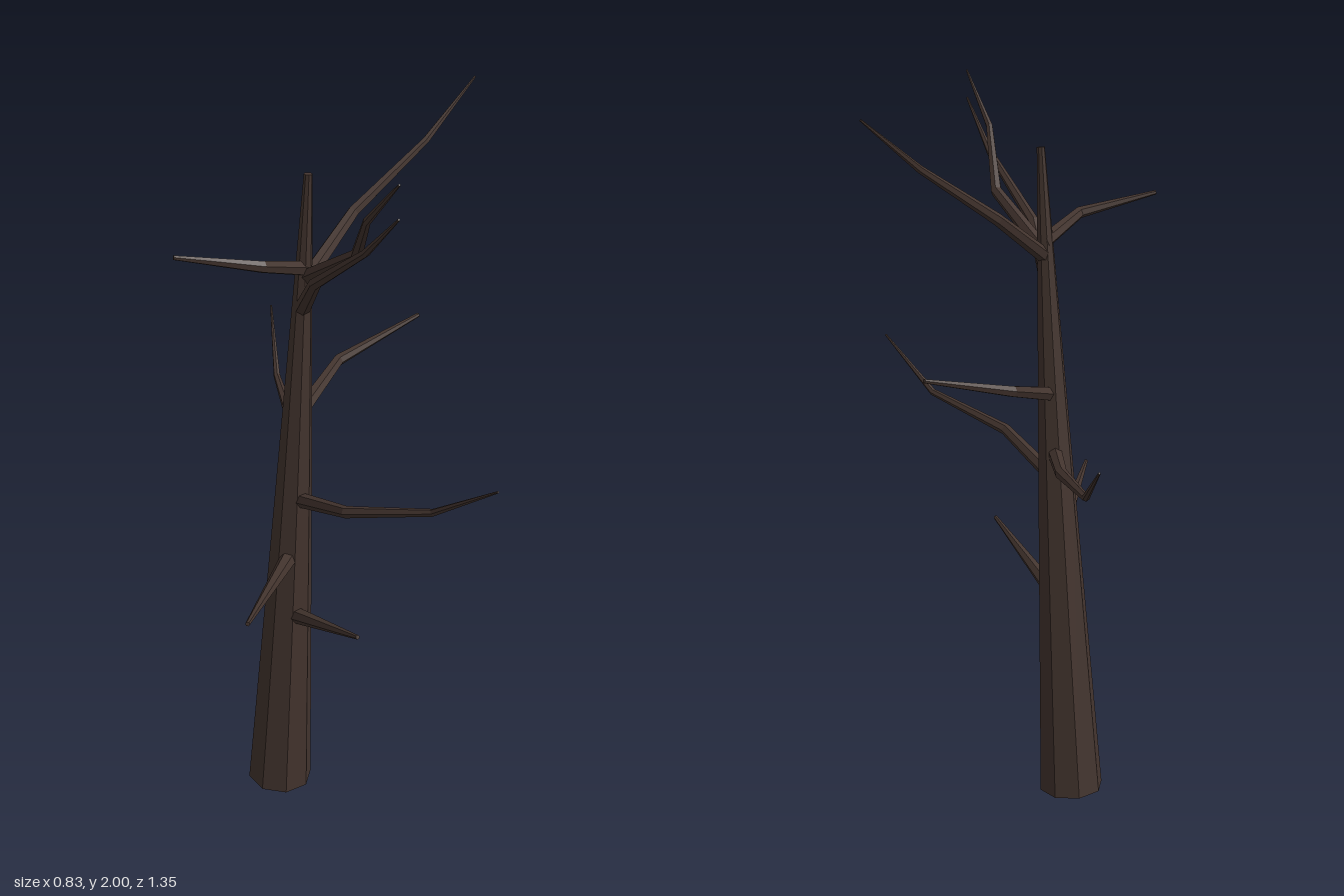
import * as THREE from 'three';

const bark = new THREE.MeshStandardMaterial({ color: 0x43342e, flatShading: true });
bark.name = 'dark bark';

// Tapered faceted limb through [x, y, z, radius] points, mitred at each elbow
function limb(name, points, sides, turn = 0) {
  const centres = points.map(([x, y, z]) => new THREE.Vector3(x, y, z));
  const up = new THREE.Vector3(0, 1, 0);
  const pos = [];
  const index = [];
  const last = points.length - 1;
  const frame = new THREE.Quaternion();
  const heading = up.clone();

  centres.forEach((c, i) => {
    const dir = new THREE.Vector3();
    if (i > 0) dir.add(c.clone().sub(centres[i - 1]).normalize());
    if (i < last) dir.add(centres[i + 1].clone().sub(c).normalize());
    dir.normalize();
    // carry the frame along so the sides do not twist
    frame.premultiply(new THREE.Quaternion().setFromUnitVectors(heading, dir));
    heading.copy(dir);
    for (let s = 0; s < sides; s++) {
      const a = turn + (s / sides) * Math.PI * 2;
      const p = new THREE.Vector3(Math.sin(a), 0, Math.cos(a));
      p.multiplyScalar(points[i][3]).applyQuaternion(frame).add(c);
      pos.push(p.x, p.y, p.z);
    }
  });

  for (let i = 0; i < last; i++) {
    for (let s = 0; s < sides; s++) {
      const a = i * sides + s;
      const b = i * sides + (s + 1) % sides;
      index.push(a, b, b + sides, a, b + sides, a + sides);
    }
  }
  // end caps
  for (let s = 1; s < sides - 1; s++) {
    index.push(0, s + 1, s);
    index.push(last * sides, last * sides + s, last * sides + s + 1);
  }

  const geo = new THREE.BufferGeometry();
  geo.setAttribute('position', new THREE.Float32BufferAttribute(pos, 3));
  geo.setIndex(index);
  const flat = geo.toNonIndexed();
  flat.computeVertexNormals();
  const mesh = new THREE.Mesh(flat, bark);
  mesh.name = name;
  return mesh;
}

export function createModel() {
  const tree = new THREE.Group();
  tree.name = 'bareTree';

  // Leaning trunk
  tree.add(limb('trunk', [
    [-0.161, 0.009, 0.023, 0.092],
    [-0.118, 0.93, 0.067, 0.052],
    [-0.076, 1.857, 0.11, 0.011],
  ], 8, 0.1));

  // Bare branches, from the lowest to the highest
  const branches = {
    lowFrontStub: [[-0.122, 0.585, 0.08, 0.024], [0.012, 0.708, 0.42, 0.006]],
    lowRightStub: [[-0.13, 0.77, 0.08, 0.024], [-0.28, 0.836, 0.53, 0.006]],
    frontLeftBranch: [[-0.11, 0.945, 0.08, 0.021], [-0.005, 1.018, 0.31, 0.016],
      [0.19, 1.09, 0.475, 0.01], [0.315, 1.225, 0.643, 0.003]],
    backBranch: [[-0.11, 1.025, 0.04, 0.021], [-0.092, 1.045, -0.18, 0.017],
      [-0.11, 1.075, -0.46, 0.01], [-0.105, 1.212, -0.675, 0.003]],
    middleLeftBranch: [[-0.1, 1.19, 0.07, 0.021], [0.03, 1.258, -0.125, 0.016],
      [0.27, 1.33, -0.25, 0.006]],
    lowerFrontBranch: [[-0.092, 1.5, 0.1, 0.021], [-0.078, 1.63, 0.27, 0.016],
      [0.013, 1.785, 0.5, 0.01], [0.06, 1.92, 0.675, 0.003]],
    topLeftBranch: [[-0.09, 1.565, 0.1, 0.021], [0.06, 1.7, -0.06, 0.016],
      [0.265, 1.85, -0.17, 0.01], [0.413, 1.987, -0.28, 0.003]],
    upperFrontBranch: [[-0.085, 1.58, 0.09, 0.021], [0.02, 1.71, 0.3, 0.016],
      [0.015, 1.86, 0.5, 0.01], [0.06, 1.998, 0.675, 0.003]],
    topRightBranch: [[-0.08, 1.605, 0.09, 0.021], [-0.2, 1.66, 0.22, 0.016],
      [-0.418, 1.705, 0.253, 0.006]],
  };
  for (const [name, points] of Object.entries(branches)) tree.add(limb(name, points, 6));

  return tree;
}
